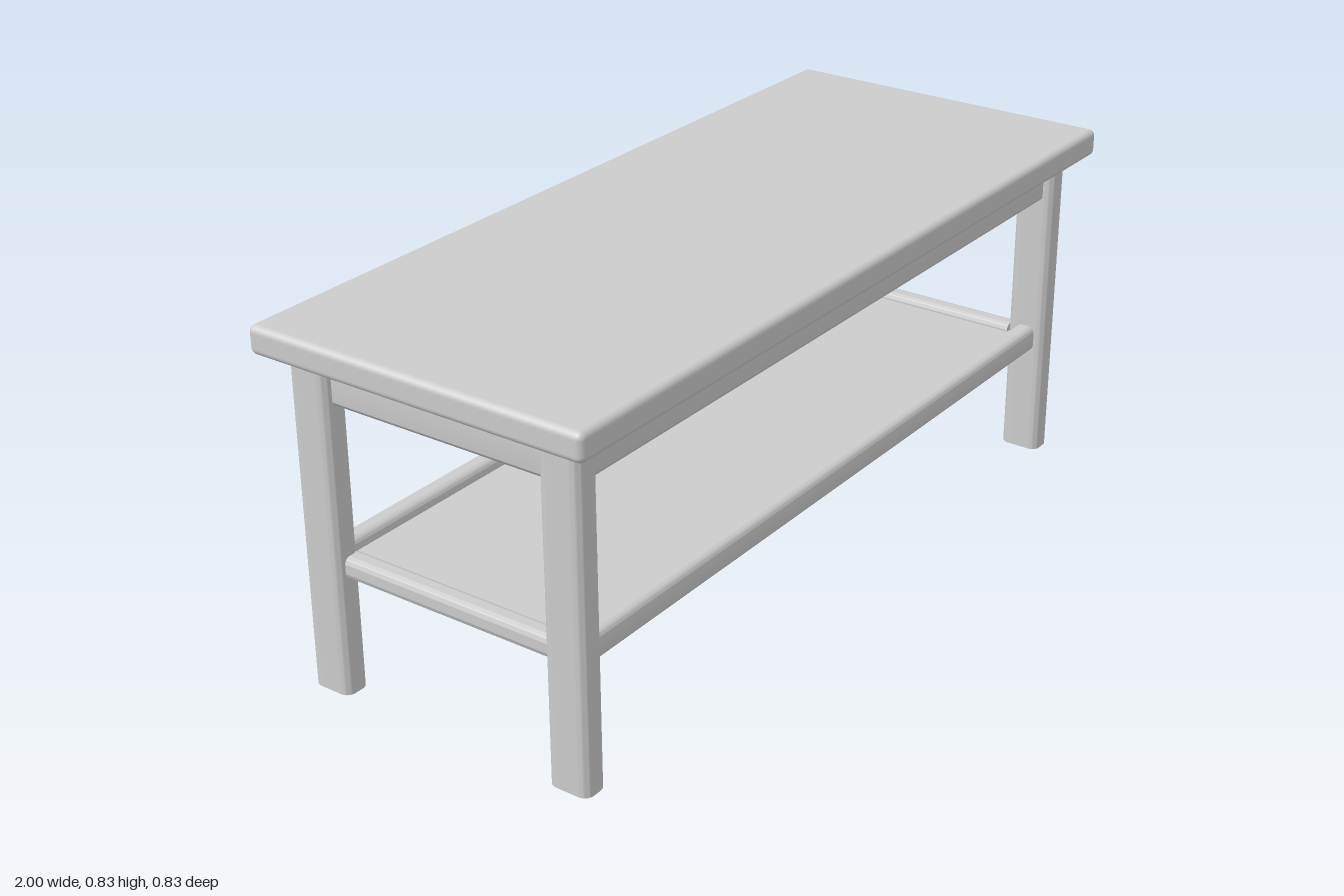
import * as THREE from 'three';
import { RoundedBoxGeometry } from 'three/addons/geometries/RoundedBoxGeometry.js';
import { toCreasedNormals } from 'three/addons/utils/BufferGeometryUtils.js';

const material = new THREE.MeshStandardMaterial({ color: 0xcccccc });

// Bar with a rounded rectangular section (w by h), centred, running along z
function bar(w, h, length, r) {
  const x = w / 2, y = h / 2;
  const s = new THREE.Shape();
  s.moveTo(-x + r, -y);
  s.lineTo(x - r, -y);
  s.absarc(x - r, -y + r, r, -Math.PI / 2, 0);
  s.lineTo(x, y - r);
  s.absarc(x - r, y - r, r, 0, Math.PI / 2);
  s.lineTo(-x + r, y);
  s.absarc(-x + r, y - r, r, Math.PI / 2, Math.PI);
  s.lineTo(-x, -y + r);
  s.absarc(-x + r, -y + r, r, Math.PI, Math.PI * 1.5);
  const g = new THREE.ExtrudeGeometry(s, { depth: length, bevelEnabled: false, curveSegments: 6 });
  g.translate(0, 0, -length / 2);
  return toCreasedNormals(g, 0.7);
}

export function createModel() {
  const group = new THREE.Group();
  const add = (name, geometry, x, y, z) => {
    const mesh = new THREE.Mesh(geometry, material);
    mesh.name = name;
    mesh.position.set(x, y, z);
    group.add(mesh);
  };

  const legX = 0.9175, legZ = 0.317;

  // Table top with softened edges
  add('tableTop', new RoundedBoxGeometry(2, 0.065, 0.834, 4, 0.016), 0, 0.8025, 0);

  // Four upright legs
  const leg = bar(0.065, 0.1, 0.77, 0.022).rotateX(-Math.PI / 2);
  for (const sx of [-1, 1])
    for (const sz of [-1, 1]) add('leg', leg, sx * legX, 0.385, sz * legZ);

  // Long aprons and shelf rails, front and back
  const longApron = bar(0.05, 0.1, 1.78, 0.012).rotateY(Math.PI / 2);
  const longRail = bar(0.05, 0.065, 1.78, 0.018).rotateY(Math.PI / 2);
  for (const sz of [-1, 1]) {
    add('longApron', longApron, 0, 0.72, sz * legZ);
    add('longShelfRail', longRail, 0, 0.3025, sz * legZ);
  }

  // Short aprons and shelf rails at the ends
  const endApron = bar(0.04, 0.1, 0.54, 0.012);
  const endRail = bar(0.05, 0.05, 0.54, 0.015);
  for (const sx of [-1, 1]) {
    add('endApron', endApron, sx * 0.91, 0.72, 0);
    add('endShelfRail', endRail, sx * 0.905, 0.3, 0);
  }

  // Thin shelf panel set between the rails
  add('shelf', new THREE.BoxGeometry(1.78, 0.02, 0.6), 0, 0.297, 0);

  return group;
}
